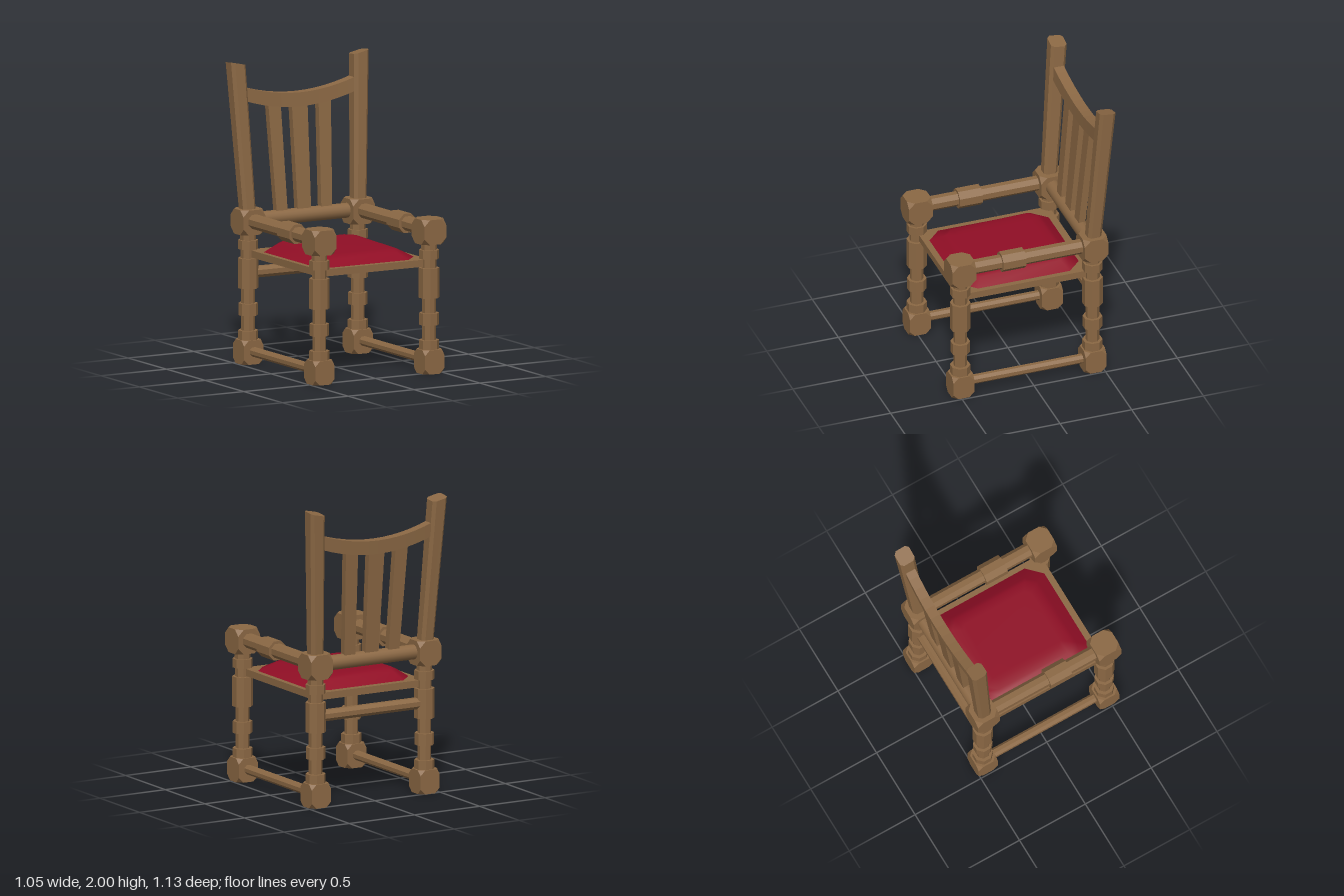
import * as THREE from 'three';
import { ConvexGeometry } from 'three/addons/geometries/ConvexGeometry.js';

const wood = new THREE.MeshStandardMaterial({ color: 0x8b6844 });
wood.name = 'wood';
const red = new THREE.MeshStandardMaterial({ color: 0x900e25 });
red.name = 'redFabric';

const LEG_X = 0.417, FRONT_Z = 0.484, BACK_Z = -0.438;
const OCT = 1 / Math.cos(Math.PI / 8);

// Gives every facet its own normal
function flat(geometry) {
  const g = geometry.index ? geometry.toNonIndexed() : geometry;
  g.computeVertexNormals();
  return g;
}

function add(parent, name, geometry, material, x = 0, y = 0, z = 0) {
  const mesh = new THREE.Mesh(geometry, material);
  mesh.name = name;
  mesh.position.set(x, y, z);
  parent.add(mesh);
  return mesh;
}

// Skin over rings of points, counter-clockwise around the path
function loft(rings, bottomCap = true) {
  const n = rings[0].length, index = [];
  for (let i = 0; i < rings.length - 1; i++) {
    for (let j = 0; j < n; j++) {
      const a = i * n + j, b = i * n + (j + 1) % n;
      index.push(a, b, b + n, a, b + n, a + n);
    }
  }
  const top = (rings.length - 1) * n;
  for (let j = 1; j < n - 1; j++) {
    if (bottomCap) index.push(0, j + 1, j);
    index.push(top, top + j, top + j + 1);
  }
  const g = new THREE.BufferGeometry();
  g.setAttribute('position', new THREE.Float32BufferAttribute(rings.flat(2), 3));
  g.setIndex(index);
  g.computeVertexNormals();
  return g;
}

// Rectangle with cut corners as [z, x] pairs
function cutRect(z0, z1, x0, x1, c) {
  return [
    [z0, x0 + c], [z0 + c, x0], [z1 - c, x0], [z1, x0 + c],
    [z1, x1 - c], [z1 - c, x1], [z0 + c, x1], [z0, x1 - c],
  ];
}

// Block with its eight corners sliced off
function cutBlock(w, h, d, c) {
  const points = [];
  for (const x of [-1, 1]) for (const y of [-1, 1]) for (const z of [-1, 1]) {
    for (let k = 0; k < 3; k++) {
      const p = [x * w / 2, y * h / 2, z * d / 2];
      p[k] -= [x, y, z][k] * c;
      points.push(new THREE.Vector3(...p));
    }
  }
  return new ConvexGeometry(points);
}

// Eight-sided bar along an axis, r measured to its flats
function bar(r, length, axis) {
  const g = new THREE.CylinderGeometry(r * OCT, r * OCT, length, 8);
  g.rotateY(Math.PI / 8);
  if (axis === 'x') g.rotateZ(Math.PI / 2);
  if (axis === 'z') g.rotateX(Math.PI / 2);
  return flat(g);
}

export function createModel() {
  const chair = new THREE.Group();
  chair.name = 'armchair';

  // Turned legs: [radius, start, end] steps
  const steps = [
    [0.062, 0.15, 0.22], [0.042, 0.22, 0.32], [0.06, 0.32, 0.4], [0.042, 0.4, 0.5],
    [0.063, 0.5, 0.7], [0.045, 0.7, 0.76], [0.062, 0.76, 0.82], [0.048, 0.82, 0.88],
  ];
  const profile = steps.flatMap(([r, y0, y1]) => [
    new THREE.Vector2(r * OCT, y0), new THREE.Vector2(r * OCT, y1),
  ]);
  const legGeo = flat(new THREE.LatheGeometry(profile, 8, Math.PI / 8));
  const footGeo = cutBlock(0.146, 0.16, 0.146, 0.035);
  const knobGeo = cutBlock(0.166, 0.166, 0.166, 0.042);

  const midZ = (FRONT_Z + BACK_Z) / 2, span = FRONT_Z - BACK_Z;
  for (const s of [-1, 1]) {
    const side = s > 0 ? 'left' : 'right', x = s * LEG_X;
    for (const [end, z] of [['Front', FRONT_Z], ['Back', BACK_Z]]) {
      const leg = new THREE.Group();
      leg.name = side + end + 'Leg';
      leg.position.set(x, 0, z);
      add(leg, 'turnedLeg', legGeo, wood);
      add(leg, 'foot', footGeo, wood, 0, 0.08, 0);
      add(leg, 'armBlock', knobGeo, wood, 0, 0.945, 0);
      chair.add(leg);
    }
    // Arm with its collar, and the low side stretcher
    add(chair, side + 'Arm', bar(0.046, span, 'z'), wood, x, 0.952, midZ);
    add(chair, side + 'ArmCollar', bar(0.064, 0.16, 'z'), wood, x, 0.952, 0.125);
    add(chair, side + 'SideStretcher', bar(0.03, span, 'z'), wood, x, 0.085, midZ);

    // Back post, leaning out and back, with a sloping top
    const post = [[0.418, 0.95, -0.436, 0.047, 0], [0.468, 1.985, -0.513, 0.055, 1]]
      .map(([cx, cy, cz, r, tilt]) => cutRect(-r, r, -r, r, 0.02).map(([z, px]) => [
        s * cx + px, cy + tilt * (s * px * 0.22 + z * 0.1), cz + z,
      ]));
    add(chair, side + 'BackPost', flat(loft(post)), wood);
  }

  // Rails between the back legs
  const lowRail = new THREE.CylinderGeometry(0.05, 0.05, 2 * LEG_X, 16);
  lowRail.rotateZ(Math.PI / 2);
  add(chair, 'lowerBackRail', lowRail, wood, 0, 0.95, BACK_Z);
  add(chair, 'backStretcher', bar(0.037, 2 * LEG_X, 'x'), wood, 0, 0.602, BACK_Z);

  // Crest rail, dipping and bowing back at the middle
  const crest = [];
  for (let i = 0; i <= 12; i++) {
    const t = i / 6 - 1, y = 1.711 + 0.075 * t * t, z = -0.51 + 0.011 * t * t;
    crest.push([[-1, -1], [1, -1], [1, 1], [-1, 1]]
      .map(([u, v]) => [t * 0.43, y + u * 0.046, z + v * 0.035 - u * 0.003]));
  }
  add(chair, 'crestRail', flat(loft(crest)), wood);

  // Back slats, fanning out toward the top
  for (const k of [-1, 0, 1]) {
    const slat = [
      [k * 0.168, 0.95, -0.437, k ? 0.041 : 0.05],
      [k * 0.191, 1.71, -0.505, k ? 0.047 : 0.06],
    ].map(([cx, y, cz, w]) => [[-1, -1], [1, -1], [1, 1], [-1, 1]]
      .map(([v, u]) => [cx + u * w, y, cz + v * 0.023]));
    add(chair, ['rightSlat', 'middleSlat', 'leftSlat'][k + 1], flat(loft(slat)), wood);
  }

  // Seat board
  add(chair, 'seatBoard', new THREE.BoxGeometry(2 * LEG_X, 0.047, span), wood, 0, 0.731, midZ);

  // Cushion, sloping in to a slightly raked top
  const cushion = [[0, 0.754], [0.07, 0.8], [0.1, 0.816], [0.16, 0.821]].map(([d, y], i) =>
    cutRect(-0.39 + d, 0.443 - d, -0.382 + d, 0.382 - d, 0.095 - d * 0.4)
      .map(([z, x]) => [x, i ? y - z * 0.02 : y, z]));
  add(chair, 'seatCushion', loft(cushion, false), red);

  return chair;
}
